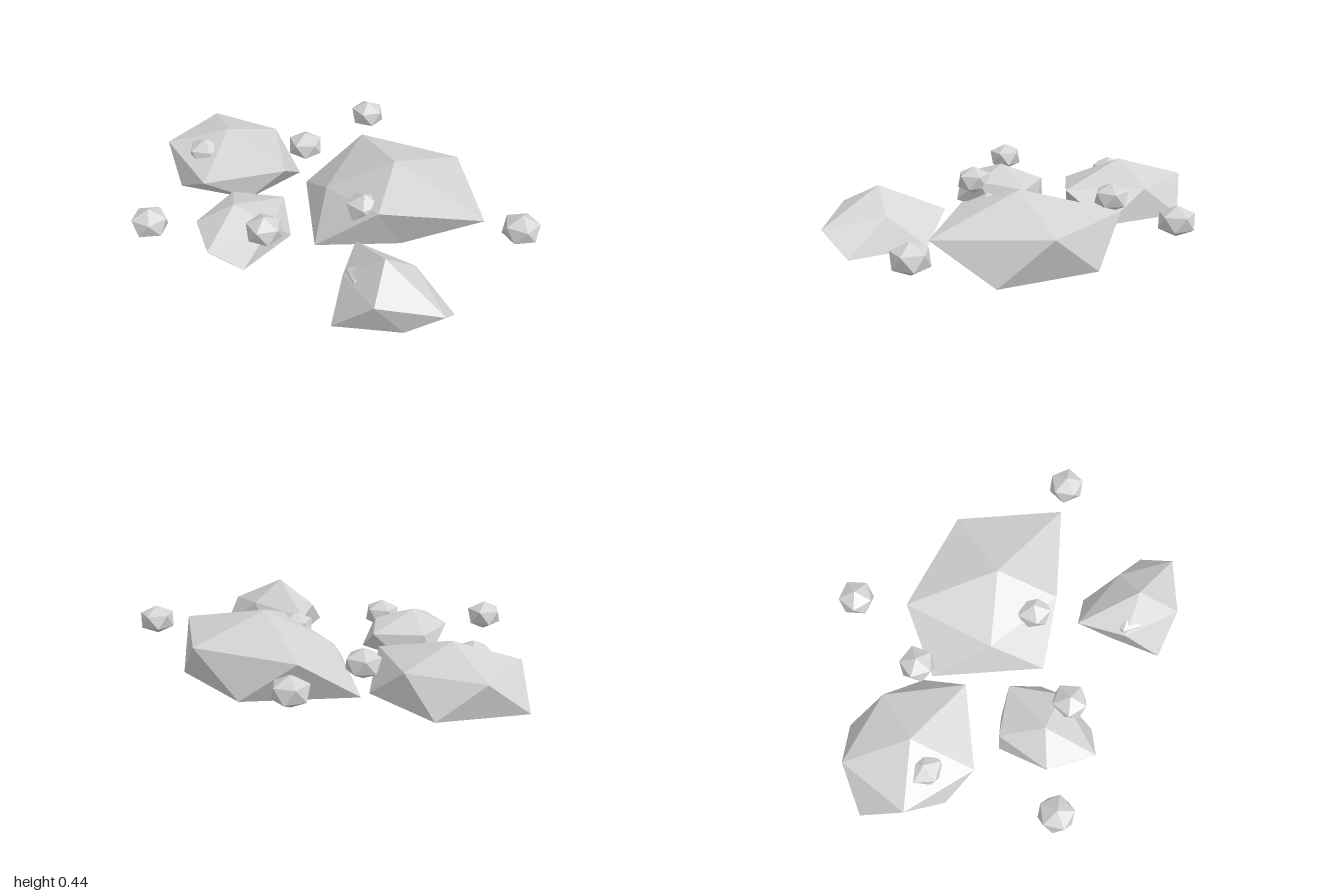
import * as THREE from 'three';

const stone = new THREE.MeshStandardMaterial({ color: 0xd3d3d3 });
stone.name = 'light grey stone';

// Twenty-sided rock: a top and a bottom point, with two staggered rings of five
// points, each listed from +x towards -z. Unshared corners give flat facets.
function rock(name, top, bottom, upper, lower) {
  const pos = [];
  const face = (...pts) => pts.forEach(p => pos.push(...p));
  for (let i = 0; i < 5; i++) {
    const j = (i + 1) % 5;
    face(top, upper[i], upper[j]);
    face(upper[i], lower[i], upper[j]);
    face(lower[i], lower[j], upper[j]);
    face(bottom, lower[j], lower[i]);
  }
  const geo = new THREE.BufferGeometry();
  geo.setAttribute('position', new THREE.Float32BufferAttribute(pos, 3));
  geo.computeVertexNormals();
  const mesh = new THREE.Mesh(geo, stone);
  mesh.name = name;
  return mesh;
}

// Small, slightly squashed regular stone
function pebble(name, x, y, z, turn) {
  const r = 0.083, h = 0.072;
  const ring = (level, offset) => Array.from({ length: 5 }, (_, i) => {
    const a = turn + (i + offset) * Math.PI * 0.4;
    return [r * Math.cos(a), level, -r * Math.sin(a)];
  });
  const mesh = rock(name, [0, h, 0], [0, -h, 0], ring(h * 0.447, 0), ring(-h * 0.447, 0.5));
  mesh.position.set(x, y, z);
  return mesh;
}

export function createModel() {
  const group = new THREE.Group();
  group.name = 'rockCluster';

  // Four large rocks
  group.add(rock('largestRock', [0.27, 0.44, -0.22], [0.27, 0, -0.22],
    [[0.77, 0.32, -0.22], [0.40, 0.33, -0.59], [-0.11, 0.32, -0.48], [0, 0.27, -0.04], [0.38, 0.34, 0.06]],
    [[0.60, 0.125, -0.45], [0.14, 0.125, -0.59], [-0.26, 0.105, -0.2], [0.12, 0.12, 0.20], [0.44, 0.135, -0.05]]));

  group.add(rock('rightRock', [-0.61, 0.39, 0], [-0.61, 0.045, 0],
    [[-0.23, 0.29, 0], [-0.52, 0.30, -0.265], [-0.88, 0.30, -0.19], [-0.87, 0.30, 0.18], [-0.51, 0.25, 0.29]],
    [[-0.31, 0.14, -0.21], [-0.71, 0.14, -0.33], [-1, 0.13, 0], [-0.70, 0.145, 0.27], [-0.36, 0.14, 0.13]]));

  group.add(rock('frontRock', [-0.17, 0.355, 0.43], [-0.17, 0.095, 0.43],
    [[0.02, 0.30, 0.38], [-0.10, 0.28, 0.16], [-0.32, 0.28, 0.28], [-0.30, 0.27, 0.55], [-0.10, 0.27, 0.68]],
    [[0.025, 0.17, 0.26], [-0.22, 0.17, 0.21], [-0.345, 0.175, 0.30], [-0.20, 0.16, 0.59], [0.015, 0.16, 0.58]]));

  group.add(rock('leftRock', [0.63, 0.405, 0.365], [0.63, 0.095, 0.365],
    [[0.94, 0.255, 0.365], [0.69, 0.30, 0.215], [0.365, 0.27, 0.21], [0.46, 0.27, 0.43], [0.71, 0.305, 0.55]],
    [[0.90, 0.14, 0.215], [0.53, 0.14, 0.13], [0.45, 0.155, 0.36], [0.53, 0.14, 0.60], [0.80, 0.155, 0.455]]));

  // Scattered pebbles: x, y, z
  [
    [-0.235, 0.30, -0.70], [0.915, 0.30, -0.30], [-0.30, 0.295, -0.245], [0.265, 0.30, 0.01],
    [-0.66, 0.295, 0.12], [0.015, 0.30, 0.43], [-0.435, 0.297, 0.71], [0.54, 0.26, 0.38],
  ].forEach(([x, y, z], i) => group.add(pebble('pebble' + (i + 1), x, y, z, i * 0.5)));

  return group;
}
